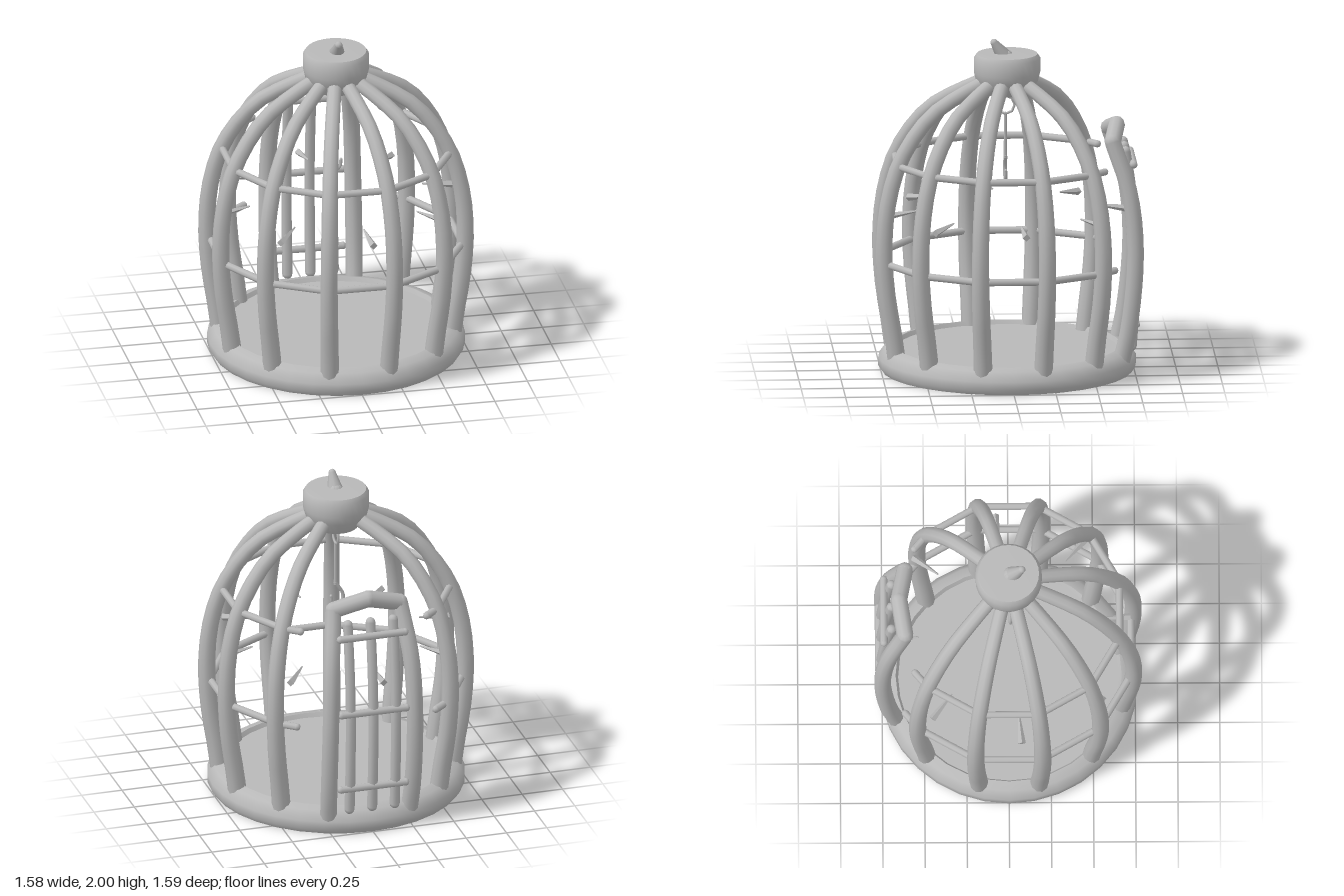
import * as THREE from 'three';
import { toCreasedNormals } from 'three/addons/utils/BufferGeometryUtils.js';

const metal = new THREE.MeshStandardMaterial({ color: 0xb8b8b8 });
metal.name = 'grey metal';

const rad = THREE.MathUtils.degToRad;
// angle runs from the front (+z) towards the model's left (+x)
const polar = (r, y, deg) => [r * Math.sin(rad(deg)), y, r * Math.cos(rad(deg))];

export function createModel() {
  const cage = new THREE.Group();
  cage.name = 'birdcage';

  function add(geometry, name, parent = cage) {
    const mesh = new THREE.Mesh(geometry, metal);
    mesh.name = name;
    parent.add(mesh);
    return mesh;
  }

  // Round rod along a curve, tapering from r0 to r1, with rounded ends
  function rod(points, r0, r1, name, { segments = 14, sides = 10, parent = cage } = {}) {
    const group = new THREE.Group();
    group.name = name;
    parent.add(group);
    const path = new THREE.CatmullRomCurve3(points.map(p => new THREE.Vector3(...p)), false, 'centripetal');
    const tube = new THREE.TubeGeometry(path, segments, 1, sides);
    const pos = tube.attributes.position, v = new THREE.Vector3();
    for (let i = 0; i < pos.count; i++) {
      const t = Math.floor(i / (sides + 1)) / segments;
      const c = path.getPointAt(t);
      v.fromBufferAttribute(pos, i).sub(c).multiplyScalar(r0 + (r1 - r0) * t).add(c);
      pos.setXYZ(i, v.x, v.y, v.z);
    }
    add(tube, name + 'Shaft', group);
    [[0, r0], [1, r1]].forEach(([t, r]) => {
      add(new THREE.SphereGeometry(r, sides, 6), name + 'End', group).position.copy(path.getPointAt(t));
    });
    return group;
  }

  const lathe = (profile, sides) => toCreasedNormals(
    new THREE.LatheGeometry(profile.map(p => new THREE.Vector2(...p)), sides), 0.7);

  // Base tray with raised rim
  add(lathe([[0, 0], [0.745, 0], [0.765, 0.03], [0.765, 0.08], [0.725, 0.135],
    [0.67, 0.15], [0.655, 0.125], [0, 0.125]], 32), 'base');

  // Cap and its leaning tip
  add(lathe([[0, 1.66], [0.13, 1.67], [0.185, 1.75], [0.197, 1.8], [0.197, 1.885],
    [0.18, 1.91], [0, 1.915]], 28), 'cap');
  rod([[0, 1.88, 0.01], [0, 1.93, 0.045], [0, 1.977, 0.077]], 0.055, 0.023, 'capTip', { segments: 5 });

  // Ten curved bars; the two missing at the back leave the doorway
  const barProfile = [[0.685, 0.07], [0.71, 0.25], [0.75, 0.5], [0.767, 0.78], [0.74, 1.06],
    [0.66, 1.31], [0.475, 1.56], [0.24, 1.7], [0.15, 1.74]];
  for (let k = 0; k < 12; k++) {
    const deg = 15 + 30 * k;
    if (Math.abs(deg - 180) < 20) continue;
    rod(barProfile.map(([r, y]) => polar(r, y, deg)), 0.056, 0.042, 'bar', { segments: 18 });
  }

  // Two hoops, straight between bars, open at the doorway
  for (const [r, y] of [[0.75, 0.68], [0.68, 1.27]]) {
    const stops = [-145];
    for (let d = -135; d <= 135; d += 30) stops.push(d);
    stops.push(145);
    const hoop = new THREE.Group();
    hoop.name = 'hoop';
    cage.add(hoop);
    for (let i = 0; i < stops.length - 1; i++) {
      rod([polar(r, y, stops[i]), polar(r, y, stops[i + 1])], 0.022, 0.022, 'hoopSegment',
        { segments: 1, sides: 8, parent: hoop });
    }
  }

  // Thorns pointing inward between the bars
  for (let k = 0; k < 8; k++) {
    const thorn = new THREE.Group();
    thorn.name = 'thorn';
    thorn.rotation.y = rad(6 + 45 * k);
    cage.add(thorn);
    const spike = add(new THREE.CylinderGeometry(0.005, 0.023, 0.19, 4).toNonIndexed(), 'thornSpike', thorn);
    spike.geometry.computeVertexNormals();
    spike.position.set(0, 0.96, 0.63);
    spike.rotation.x = -Math.PI / 2 + 0.15;
  }

  // Door frame: two legs and a low arch
  for (const s of [1, -1]) {
    rod([[0.25, 0.07, -0.66], [0.26, 0.3, -0.71], [0.26, 0.75, -0.748], [0.245, 1.1, -0.715],
      [0.205, 1.41, -0.615]].map(([x, y, z]) => [s * x, y, z]), 0.052, 0.05, 'doorFrameLeg');
    rod([[s * 0.205, 1.41, -0.615], [0, 1.473, -0.65]], 0.05, 0.05, 'doorFrameArch', { segments: 1 });
  }

  // Door leaf: three uprights and three crossbars
  for (const x of [-0.14, 0, 0.14]) {
    rod([[x, 0.16, -0.73], [x, 0.45, -0.75], [x, 0.8, -0.755], [x, 1.1, -0.73], [x, 1.34, -0.695]],
      0.032, 0.03, 'doorUpright', { sides: 8 });
  }
  for (const [y, z] of [[0.3, -0.755], [0.79, -0.77], [1.27, -0.74]]) {
    rod([[-0.2, y, z], [0.2, y, z]], 0.023, 0.023, 'doorCrossbar', { segments: 1, sides: 8 });
  }

  // Hanging ring, stem and hook
  const ring = add(new THREE.TorusGeometry(0.055, 0.008, 6, 8), 'hangingRing');
  ring.rotation.set(0, Math.PI / 2, 0);
  ring.position.set(0, 1.6, 0.01);
  rod([[0, 1.68, 0.01], [0, 1.655, 0.01]], 0.008, 0.008, 'ringLink', { segments: 1, sides: 6 });
  rod([[0, 1.55, 0.01], [0, 1.28, 0.01]], 0.008, 0.011, 'hookStem', { segments: 1, sides: 6 });
  rod([[0, 1.29, 0.01], [-0.045, 1.215, 0.01], [-0.043, 1.175, 0.01], [-0.015, 1.14, 0.01],
    [0.02, 1.16, 0.01], [0.028, 1.205, 0.01]], 0.012, 0.01, 'hook', { sides: 6 });

  return cage;
}
